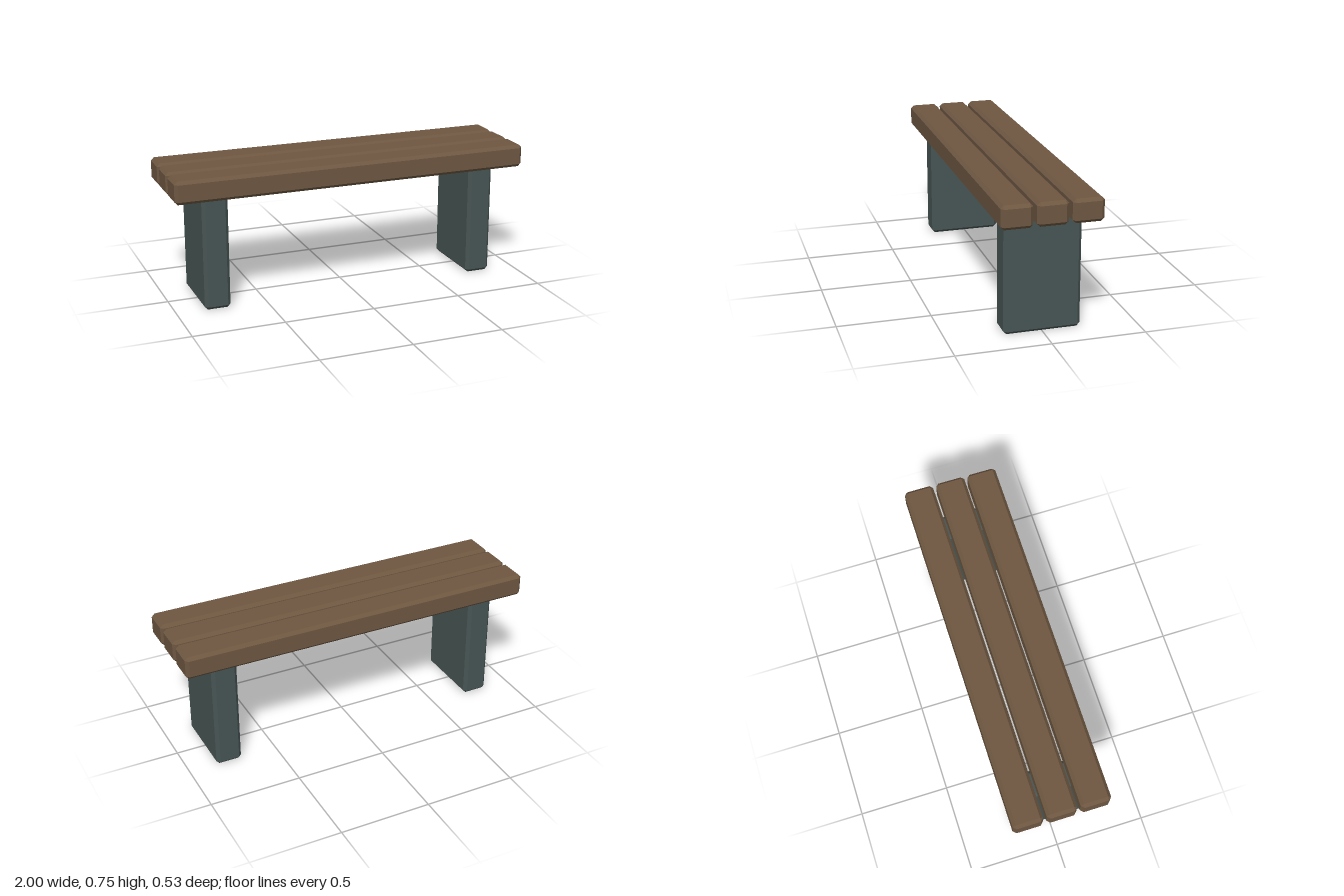
import * as THREE from 'three';
import { ConvexGeometry } from 'three/addons/geometries/ConvexGeometry.js';

const BEVEL = 0.017;

// Box with every edge cut at 45 degrees: each corner becomes three points
function chamferedBox(w, h, d, c = BEVEL) {
  const points = [];
  for (const sx of [-1, 1]) for (const sy of [-1, 1]) for (const sz of [-1, 1]) {
    const x = w / 2, y = h / 2, z = d / 2;
    points.push(
      new THREE.Vector3(sx * x, sy * (y - c), sz * (z - c)),
      new THREE.Vector3(sx * (x - c), sy * y, sz * (z - c)),
      new THREE.Vector3(sx * (x - c), sy * (y - c), sz * z)
    );
  }
  return new ConvexGeometry(points);
}

export function createModel() {
  const bench = new THREE.Group();
  bench.name = 'bench';

  const wood = new THREE.MeshStandardMaterial({ color: 0x6e5741 });
  wood.name = 'brown wood';
  const stone = new THREE.MeshStandardMaterial({ color: 0x475554 });
  stone.name = 'dark slate';

  const add = (name, geometry, material, x, y, z) => {
    const mesh = new THREE.Mesh(geometry, material);
    mesh.name = name;
    mesh.position.set(x, y, z);
    bench.add(mesh);
  };

  // Three seat planks with narrow gaps
  const plank = chamferedBox(2, 0.126, 0.164);
  [['backPlank', -0.182], ['middlePlank', 0], ['frontPlank', 0.182]].forEach(
    ([name, z]) => add(name, plank, wood, 0, 0.683, z));

  // Two slab legs, their tops let into the planks
  const leg = chamferedBox(0.142, 0.637, 0.408);
  add('rightLeg', leg, stone, -0.774, 0.3185, 0);
  add('leftLeg', leg, stone, 0.774, 0.3185, 0);

  return bench;
}
